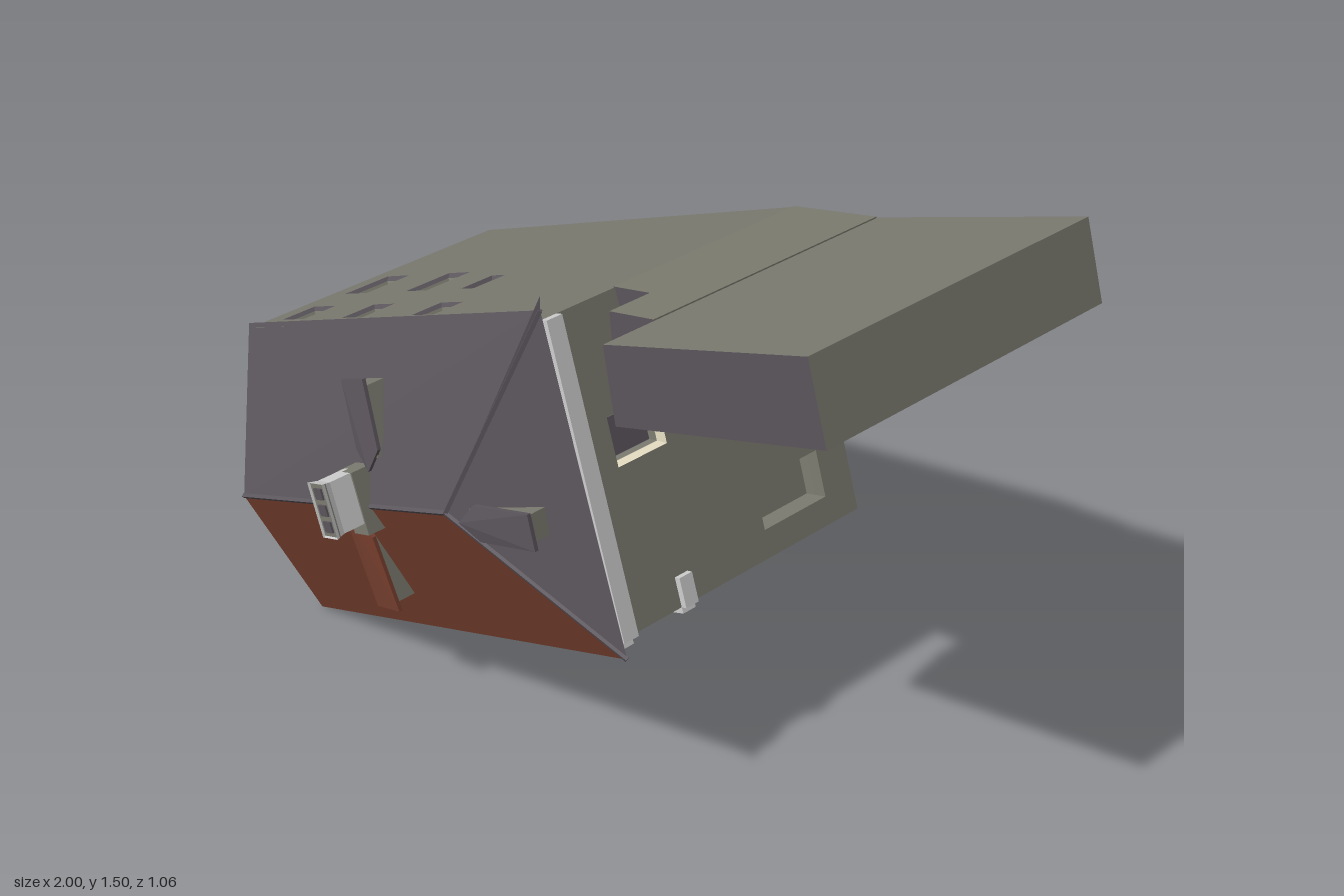
import * as THREE from 'three';

const mat = (name, color) => {
  const m = new THREE.MeshStandardMaterial({ color, side: THREE.DoubleSide, flatShading: true });
  m.name = name;
  return m;
};

export function createModel() {
  const wallMat = mat('stone', 0x7b7b70), slate = mat('slate', 0x5b555c), red = mat('red tile', 0x78402f);
  const white = mat('light grey', 0xcfcfcf), cream = mat('cream', 0xe6dec2), plinthMat = mat('plinth grey', 0x8c8c8c);
  const model = new THREE.Group();

  const add = (parent, name, geo, material, x = 0, y = 0, z = 0) => {
    const m = new THREE.Mesh(geo, material);
    m.name = name;
    m.position.set(x, y, z);
    parent.add(m);
    return m;
  };
  const box = (parent, name, size, pos, material) => add(parent, name, new THREE.BoxGeometry(...size), material, ...pos);

  // Flat polygon as a triangle fan
  const polygon = (name, pts, material) => {
    const v = [];
    for (let i = 1; i < pts.length - 1; i++) v.push(...pts[0], ...pts[i], ...pts[i + 1]);
    const g = new THREE.BufferGeometry();
    g.setAttribute('position', new THREE.Float32BufferAttribute(v, 3));
    g.computeVertexNormals();
    return add(model, name, g, material);
  };

  // Four-sided sleeve between two rectangles [width, height, z]
  const sleeve = (a, b) => {
    const v = [], c = [[-1, -1], [1, -1], [1, 1], [-1, 1]];
    const p = (r, k) => [c[k % 4][0] * r[0] / 2, c[k % 4][1] * r[1] / 2, r[2]];
    for (let i = 0; i < 4; i++) {
      v.push(...p(a, i), ...p(b, i), ...p(b, i + 1), ...p(a, i), ...p(b, i + 1), ...p(a, i + 1));
    }
    const g = new THREE.BufferGeometry();
    g.setAttribute('position', new THREE.Float32BufferAttribute(v, 3));
    g.computeVertexNormals();
    return g;
  };

  // Wall between two plan points: local x runs along it, y is storey height, z is outward
  const wall = (name, p, q, z0, z1, windows = []) => {
    const len = Math.hypot(q[0] - p[0], q[1] - p[1]);
    const u = [(q[0] - p[0]) / len, (q[1] - p[1]) / len];
    const g = new THREE.Group();
    g.name = name;
    g.quaternion.setFromRotationMatrix(new THREE.Matrix4().makeBasis(
      new THREE.Vector3(u[0], u[1], 0), new THREE.Vector3(0, 0, 1), new THREE.Vector3(u[1], -u[0], 0)));
    g.position.set(p[0], p[1], 0);
    const rect = (C, x0, y0, x1, y1) => {
      const s = new C();
      s.moveTo(x0, y0); s.lineTo(x1, y0); s.lineTo(x1, y1); s.lineTo(x0, y1); s.closePath();
      return s;
    };
    const shape = rect(THREE.Shape, 0, z0, len, z1);
    for (const { x, y, w, h, depth, frame, pane = slate } of windows) {
      shape.holes.push(rect(THREE.Path, x - w / 2, y - h / 2, x + w / 2, y + h / 2));
      const mid = [w * 0.86, h * 0.86, -depth / 2], back = [w * 0.8, h * 0.8, -depth];
      add(g, 'windowSurround', sleeve([w, h, 0], mid), frame, x, y);
      add(g, 'windowReveal', sleeve(mid, back), wallMat, x, y);
      add(g, 'windowPane', new THREE.PlaneGeometry(back[0], back[1]), pane, x, y, -depth);
    }
    add(g, name + 'Panel', new THREE.ShapeGeometry(shape), wallMat);
    g.userData.length = len;
    model.add(g);
    return g;
  };

  // Main building walls
  const A = [-0.985, 0.745], B = [-0.735, 0.04], C = [0.38, 0.5], D = [0.13, 1.225];
  const low = -0.53, eave = 0.268;
  const longWindows = [];
  for (const x of [0.17, 0.43, 0.71, 1.06]) {
    for (const [y, h] of [[0.16, 0.12], [-0.07, 0.15], [-0.305, 0.15]]) {
      longWindows.push({ x, y, w: 0.12, h, depth: 0.07, frame: cream });
    }
  }
  const long = wall('longWall', B, C, low, eave, longWindows);
  const end = wall('endWall', C, D, low, eave, [
    { x: 0.44, y: 0.08, w: 0.12, h: 0.15, depth: 0.04, frame: cream },
    { x: 0.44, y: -0.155, w: 0.12, h: 0.15, depth: 0.04, frame: cream },
    { x: 0.13, y: -0.33, w: 0.12, h: 0.21, depth: 0.04, frame: wallMat, pane: wallMat },
  ]);
  const sill = (x, y, w, h) => ({ x: (0.13 - x) / 0.92, y, w, h, depth: 0.02, frame: slate });
  wall('rearWall', D, A, low, eave, [
    sill(-0.88, 0.16, 0.1, 0.1), sill(-0.88, -0.06, 0.1, 0.14), sill(-0.63, 0.16, 0.09, 0.1),
    sill(-0.63, -0.06, 0.09, 0.14), sill(-0.43, -0.04, 0.055, 0.1), sill(-0.36, 0.16, 0.09, 0.09),
  ]);
  wall('gableWall', A, B, low, eave);

  // Cornice, string course and plinth
  const L = long.userData.length, E = end.userData.length;
  box(long, 'cornice', [L, 0.04, 0.02], [L / 2, 0.248, 0.01], white);
  box(end, 'cornice', [E, 0.045, 0.02], [E / 2, 0.246, 0.01], white);
  box(long, 'stringCourse', [L, 0.04, 0.016], [L / 2, 0.05, 0.008], white);
  box(end, 'stringCourse', [0.075, 0.04, 0.016], [0.0375, 0.05, 0.008], white);
  box(long, 'plinth', [1.02, 0.15, 0.035], [0.51, -0.455, 0.0175], plinthMat);

  // Hipped roof with one gable end
  const rA = [-1, 0.75, 0.262], rB = [-0.75, 0, 0.275], rC = [0.41, 0.47, 0.27], rD = [0.13, 1.25, 0.27];
  const r1 = [-0.86, 0.36, 0.415], r2 = [-0.04, 0.71, 0.415];
  polygon('redRoofSlope', [rB, rC, r2, r1], red);
  polygon('slateHip', [rC, rD, r2], slate);
  polygon('slateRoofSlope', [rD, rA, r1, r2], slate);
  polygon('gableEnd', [rA, rB, r1], wallMat);
  polygon('hipFin', [r2, rD, [0.13, 1.285, 0.27]], slate);

  // Ridge and hip caps
  for (const [p, q] of [[r1, r2], [r2, rC], [r2, rD]]) {
    const a = new THREE.Vector3(...p), b = new THREE.Vector3(...q), d = b.clone().sub(a);
    const m = add(model, 'ridgeCap', new THREE.CylinderGeometry(0.007, 0.007, d.length(), 4), slate);
    m.position.copy(a.add(b).multiplyScalar(0.5));
    m.quaternion.setFromUnitVectors(new THREE.Vector3(0, 1, 0), d.normalize());
  }

  // Dormers run outward from an inner to an outer plan point
  const dormer = (p, q, material) => {
    const g = new THREE.Group();
    g.name = 'dormer';
    g.position.set(p[0], p[1], 0);
    g.rotation.z = Math.atan2(q[1] - p[1], q[0] - p[0]);
    const len = Math.hypot(q[0] - p[0], q[1] - p[1]), w = 0.066;
    const side = new THREE.Shape([[0, 0.385], [len - 0.02, 0.295], [len - 0.02, 0.375], [0, 0.395]]
      .map(([x, y]) => new THREE.Vector2(x, y)));
    const body = new THREE.ExtrudeGeometry(side, { depth: w, bevelEnabled: false });
    body.rotateX(Math.PI / 2).translate(0, w / 2, 0);
    add(g, 'dormerBody', body, wallMat);
    const top = new THREE.Shape([[-0.03, 0], [0.02, -0.045], [len, -0.045], [len, 0.045], [0.02, 0.045]]
      .map(([x, y]) => new THREE.Vector2(x, y)));
    const roof = new THREE.ExtrudeGeometry(top, { depth: 0.01, bevelEnabled: false });
    const pos = roof.attributes.position;
    for (let i = 0; i < pos.count; i++) {
      // Roof falls gently to the front and to both sides
      pos.setZ(i, pos.getZ(i) + 0.398 - 0.1 * pos.getX(i) - 0.2 * Math.abs(pos.getY(i)));
    }
    roof.computeVertexNormals();
    add(g, 'dormerRoof', roof, material);
    model.add(g);
  };
  dormer([-0.395, 0.485], [-0.325, 0.27], red);
  dormer([-0.34, 0.71], [-0.415, 0.885], slate);
  dormer([0.03, 0.71], [0.215, 0.765], slate);

  // Chimney with flared top and three dark flues
  const chimney = new THREE.Group();
  chimney.name = 'chimney';
  chimney.position.set(-0.362, 0.607, 0);
  chimney.rotation.z = 0.36;
  box(chimney, 'chimneyBase', [0.06, 0.16, 0.07], [0, -0.015, 0.405], wallMat);
  add(chimney, 'chimneyStack', sleeve([0.05, 0.13, 0.42], [0.05, 0.13, 0.5]), white);
  add(chimney, 'chimneyFlare', sleeve([0.05, 0.13, 0.5], [0.062, 0.14, 0.526]), white);
  box(chimney, 'chimneyTop', [0.058, 0.135, 0.006], [0, 0, 0.517], wallMat);
  for (const y of [-0.042, 0, 0.042]) box(chimney, 'flue', [0.03, 0.028, 0.006], [0, y, 0.522], slate);
  model.add(chimney);

  // Annex and stepped link, open underneath like the main building
  const block = (name, plan, top) => {
    plan.forEach((p, i) => wall(name + 'Wall', p, plan[(i + 1) % plan.length], low, top));
    polygon(name + 'Roof', plan.map(([x, y]) => [x, y, top]), slate);
  };
  block('annex', [[0.42, 1.11], [1, 1.32], [0.94, 1.5], [0.38, 1.29]], 0.32);
  block('linkHigh', [[0.25, 1.175], [0.39, 1.215], [0.375, 1.29], [0.24, 1.255]], 0.17);
  block('linkLow', [[0.155, 1.145], [0.25, 1.175], [0.24, 1.255], [0.125, 1.225]], 0.05);

  return model;
}
